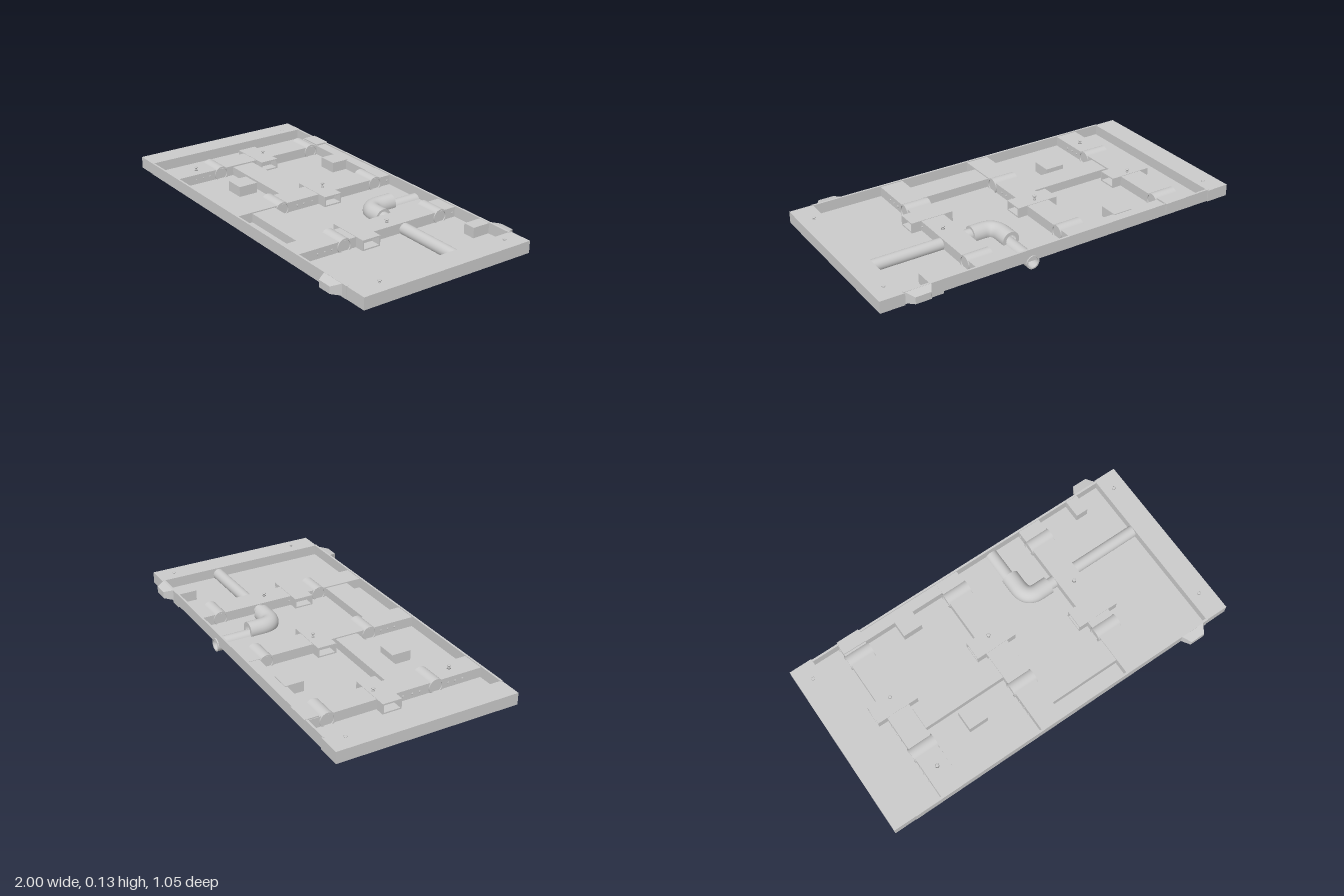
import * as THREE from 'three';

const mat = new THREE.MeshStandardMaterial({ color: 0xcccccc, side: THREE.DoubleSide });

export function createModel() {
  const model = new THREE.Group();
  const add = (name, geometry) => {
    const mesh = new THREE.Mesh(geometry, mat);
    mesh.name = name;
    model.add(mesh);
    return mesh;
  };
  // box from its extents along each axis
  const box = (name, x0, x1, y0, y1, z0, z1) =>
    add(name, new THREE.BoxGeometry(x1 - x0, y1 - y0, z1 - z0))
      .position.set((x0 + x1) / 2, (y0 + y1) / 2, (z0 + z1) / 2);
  // hollow round pipe along x or z
  const pipe = (name, axis, length, outer, inner, x, y, z) => {
    const h = length / 2;
    const ring = new THREE.Shape().absarc(0, 0, outer, 0, Math.PI * 2);
    ring.holes.push(new THREE.Path().absarc(0, 0, inner, 0, Math.PI * 2, true));
    const g = new THREE.ExtrudeGeometry(ring, { depth: length, bevelEnabled: false, curveSegments: 16 });
    g.translate(0, 0, -h);
    if (axis === 'x') g.rotateY(Math.PI / 2);
    // smooth radial normals on the curved walls only
    const n = g.attributes.normal, p = g.attributes.position;
    for (let i = 0; i < n.count; i++) {
      const a = axis === 'x' ? 'Z' : 'X';
      const u = p['get' + a](i), v = p.getY(i), r = Math.hypot(u, v);
      const along = axis === 'x' ? n.getX(i) : n.getZ(i);
      if (Math.abs(along) > 0.5) continue;
      const s = r > (outer + inner) / 2 ? 1 : -1;
      n['set' + a](i, s * u / r);
      n.setY(i, s * v / r);
    }
    add(name, g).position.set(x, y, z);
  };

  // tray: floor, rims and solid end ledges
  const low = 0.042, high = 0.106;
  box('floor', -1, 1, low, 0.05, -0.475, 0.475);
  box('frontRim', -0.88, 0.88, low, high, 0.467, 0.478);
  box('backRim', -0.88, 0.88, low, high, -0.478, -0.467);
  box('rightLedge', -1, -0.875, low, 0.104, -0.484, 0.476);
  box('leftLedge', 0.875, 1, low, 0.104, -0.484, 0.476);
  box('cornerPlate', -0.725, -0.6, 0.05, 0.108, -0.484, -0.41);

  // lengthwise beams, each with two hollow rollers and side bolts
  for (const x of [-0.665, -0.078, 0.438]) {
    box('beam', x - 0.063, x + 0.063, 0.046, 0.102, -0.47, 0.47);
    for (const z of [-0.37, 0.21])
      pipe('roller', 'x', 0.138, 0.04, 0.032, x, 0.075, z);
    for (const side of [-1, 1])
      for (const z of [-0.45, 0.03, 0.08, 0.12, 0.28, 0.32, 0.36]) {
        const bolt = add('bolt', new THREE.CylinderGeometry(0.005, 0.005, 0.006, 8));
        bolt.rotation.z = Math.PI / 2;
        bolt.position.set(x + side * 0.066, 0.075, z);
      }
  }

  // short rectangular tubes crossing the beams, open at both ends
  for (const [x, z] of [[-0.665, -0.062], [-0.077, -0.062], [0.44, 0.092]]) {
    const w = 0.051, h = 0.027, t = 0.007;
    const s = new THREE.Shape([[-w, -h], [w, -h], [w, h], [-w, h]].map(p => new THREE.Vector2(...p)));
    const a = w - t, b = h - t;
    s.holes.push(new THREE.Path([[-a, -b], [-a, b], [a, b], [a, -b]].map(p => new THREE.Vector2(...p))));
    const g = new THREE.ExtrudeGeometry(s, { depth: 0.23, bevelEnabled: false });
    g.translate(0, 0, -0.115).rotateY(Math.PI / 2);
    add('crossTube', g).position.set(x, 0.077, z);
  }

  // plates bridging the beams
  box('middlePlate', -0.6, -0.14, 0.05, 0.096, 0.015, 0.138);
  box('frontPlate', -0.015, 0.378, 0.05, 0.096, 0.255, 0.385);
  box('backPlate', -0.6, -0.14, 0.05, 0.1, -0.467, -0.41);

  // blocks that reach through the floor
  box('frontBlock', -0.428, -0.322, 0.033, 0.104, 0.163, 0.268);
  box('backBlock', -0.428, -0.322, 0.033, 0.104, -0.42, -0.322);
  box('sideBlock', 0.678, 0.745, 0.03, 0.104, -0.478, -0.37);

  // drain: long pipe, elbow and outlet
  pipe('longPipe', 'x', 0.54, 0.031, 0.025, 0.605, 0.067, -0.148);
  pipe('outletPipe', 'z', 0.222, 0.035, 0.028, 0.2, 0.035, -0.373);
  const path = new THREE.CurvePath();
  const a = new THREE.Vector3(0.203, 0.065, -0.3), b = new THREE.Vector3(0.203, 0.065, -0.23);
  const corner = new THREE.Vector3(0.203, 0.065, -0.149);
  const c = new THREE.Vector3(0.275, 0.065, -0.149), d = new THREE.Vector3(0.338, 0.065, -0.149);
  path.add(new THREE.LineCurve3(a, b));
  path.add(new THREE.QuadraticBezierCurve3(b, corner, c));
  path.add(new THREE.LineCurve3(c, d));
  add('elbow', new THREE.TubeGeometry(path, 28, 0.046, 24));
  const collar = [[0.028, 0], [0.046, 0]].map(p => new THREE.Vector2(...p));
  for (const [p, axis] of [[a, 'x'], [d, 'z']]) {
    const m = add('elbowCollar', new THREE.LatheGeometry(collar, 24));
    m.rotation[axis] = Math.PI / 2;
    m.position.copy(p);
  }

  // tapered bumpers on the front and back rims
  for (const [x, side] of [[0.782, 1], [0.805, -1]]) {
    const g = new THREE.CylinderGeometry(Math.SQRT1_2, Math.SQRT1_2, 1, 4, 1).toNonIndexed();
    g.rotateY(Math.PI / 4).rotateX(Math.PI / 2);
    const p = g.attributes.position;
    for (let i = 0; i < p.count; i++) {
      const tip = p.getZ(i) * side > 0;
      p.setXYZ(i, p.getX(i) * (tip ? 0.08 : 0.132), p.getY(i) * (tip ? 0.036 : 0.058), p.getZ(i) * 0.047);
    }
    g.computeVertexNormals();
    add('bumper', g).position.set(x, 0.076, side * 0.501);
  }

  // small knobs: stem with a flared head
  const knobs = [[-0.66, -0.09, 0.018], [-0.66, 0.33, 0.018], [-0.08, -0.08, 0.026], [0.45, -0.08, 0.014],
    [-0.92, -0.39, 0.004], [0.93, -0.39, 0.01], [0.93, 0.34, 0.014]];
  for (const [x, z, h] of knobs) {
    const profile = [[0, 0], [0.01, 0], [0.004, 0.3], [0.004, 0.6], [0.01, 0.85], [0.008, 1], [0, 1]]
      .map(([r, y]) => new THREE.Vector2(r, y * h));
    add('knob', new THREE.LatheGeometry(profile, 12)).position.set(x, 0.102, z);
  }
  return model;
}
